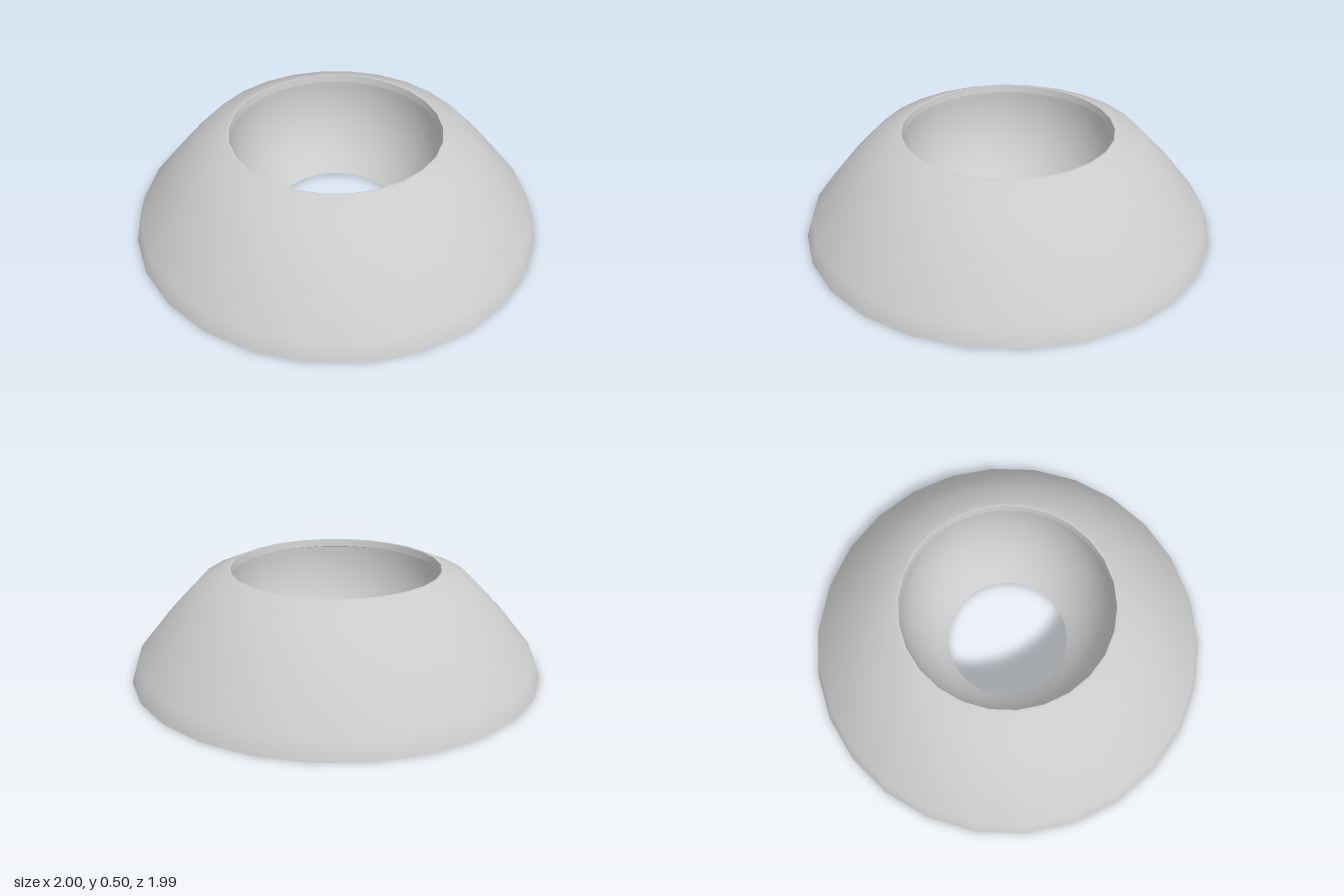
import * as THREE from 'three';

const SIDES = 26;

export function createModel() {
  const model = new THREE.Group();
  const material = new THREE.MeshStandardMaterial({ color: 0xcccccc });

  // Each section is revolved on its own, so edges between sections stay sharp
  const addRevolved = (name, profile) => {
    const points = profile.map(([r, y]) => new THREE.Vector2(r, y));
    const mesh = new THREE.Mesh(new THREE.LatheGeometry(points, SIDES, -Math.PI / 2), material);
    mesh.name = name;
    model.add(mesh);
  };

  // Sloping outside with rounded foot and shoulder, ending in a narrow rim
  addRevolved('outerWall', [[1, 0], [0.97, 0.09], [0.81, 0.285], [0.655, 0.445], [0.525, 0.5], [0.51, 0.5]]);
  // Short lip inside the rim, slightly overhanging the bowl
  addRevolved('innerLip', [[0.51, 0.5], [0.504, 0.465]]);
  addRevolved('lipUnderside', [[0.504, 0.465], [0.518, 0.46]]);

  // Spherical bowl, steep at the lip and curving in to the bottom hole
  const radius = 0.52, centerY = 0.415, steps = 10;
  const bowl = [];
  for (let i = 0; i <= steps; i++) {
    const y = 0.46 * (1 - i / steps);
    bowl.push([Math.sqrt(radius ** 2 - (y - centerY) ** 2), y]);
  }
  addRevolved('bowl', bowl);

  // Flat underside
  addRevolved('base', [bowl[steps], [1, 0]]);

  return model;
}
